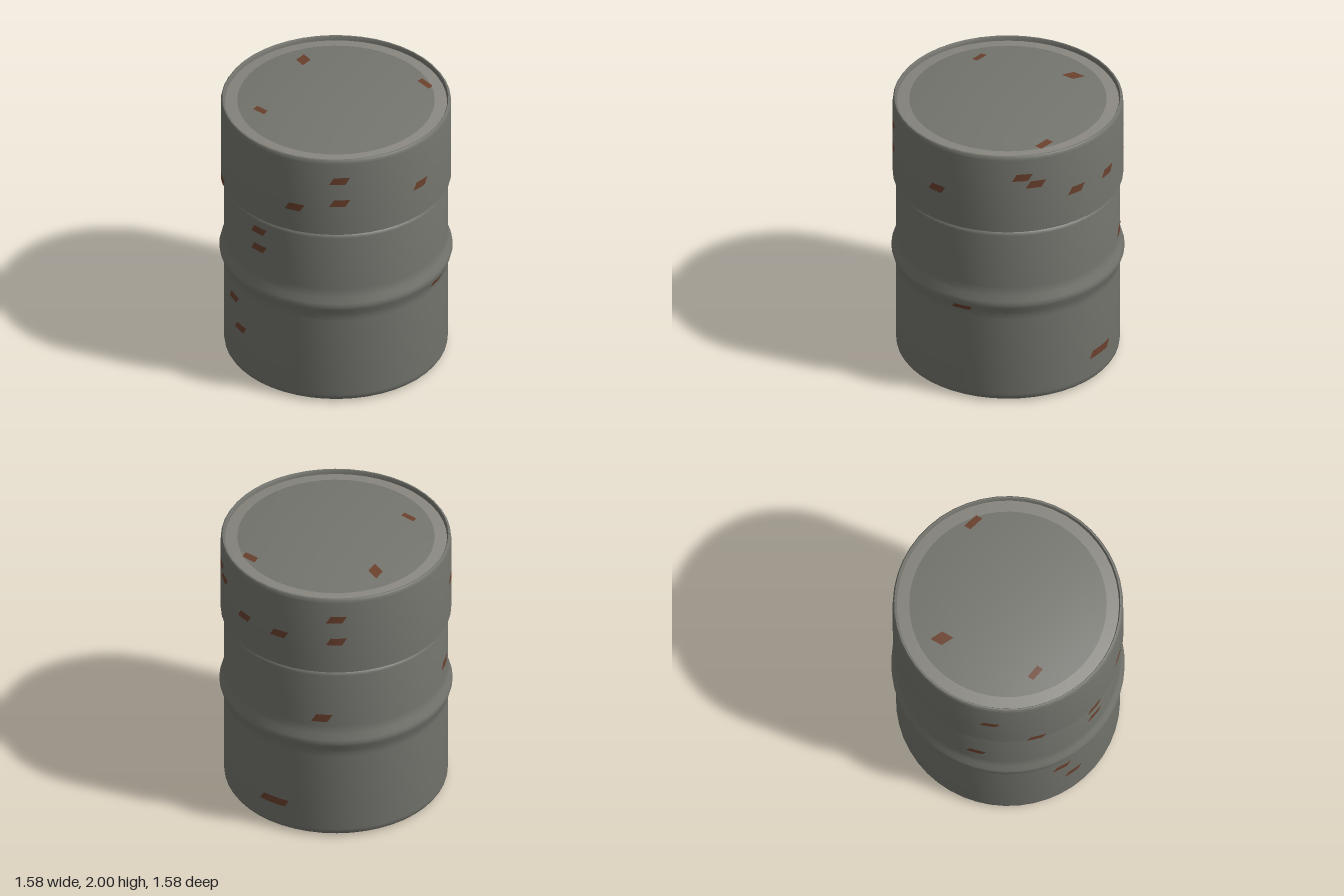
import * as THREE from 'three';
import { toCreasedNormals } from 'three/addons/utils/BufferGeometryUtils.js';

const SEGMENTS = 48;
const steel = new THREE.MeshStandardMaterial({ color: 0x75756f });
const wornSteel = new THREE.MeshStandardMaterial({ color: 0x88867f });
const rust = new THREE.MeshStandardMaterial({ color: 0x6b412d });

// Radius-height profiles, each running from the bottom up
const bodyProfile = [
  [0, 0], [0.66, 0], [0.745, 0.018], [0.756, 0.035], [0.76, 0.06],
  [0.76, 0.66], [0.762, 0.69], [0.77, 0.725], [0.786, 0.765], [0.792, 0.79],
  [0.786, 0.815], [0.77, 0.855], [0.762, 0.89], [0.76, 0.92],
  [0.76, 1.33], [0.757, 1.347], [0.748, 1.355], [0.72, 1.355], [0.72, 1.377]
];
const lidProfile = [
  [0.715, 1.375], [0.782, 1.375], [0.782, 1.945], [0.779, 1.963],
  [0.772, 1.974], [0.762, 1.975], [0.757, 1.965], [0.754, 1.943]
];
const domeY = r => 2 - 0.1 * r * r;
const domeProfile = (from, to, n) =>
  Array.from({ length: n + 1 }, (_, i) => from + (to - from) * i / n).map(r => [r, domeY(r)]);

function turned(name, profile, material) {
  const points = profile.map(([r, y]) => new THREE.Vector2(r, y));
  const geometry = toCreasedNormals(new THREE.LatheGeometry(points, SEGMENTS), 0.7);
  const mesh = new THREE.Mesh(geometry, material);
  mesh.name = name;
  return mesh;
}

// Body radius at a given height
function bodyRadius(y) {
  const i = bodyProfile.findIndex(p => p[1] > y);
  const [r0, y0] = bodyProfile[i - 1], [r1, y1] = bodyProfile[i];
  return r0 + (r1 - r0) * (y - y0) / (y1 - y0);
}

// Slanted patch laid onto a surface by a mapping (u, v) -> [x, y, z]
function patch(name, width, height, slant, map) {
  const geometry = new THREE.PlaneGeometry(width, height, 6, 4);
  const pos = geometry.attributes.position;
  for (let i = 0; i < pos.count; i++) {
    const v = pos.getY(i);
    pos.setXYZ(i, ...map(pos.getX(i) + v * slant, v));
  }
  geometry.computeVertexNormals();
  const mesh = new THREE.Mesh(geometry, rust);
  mesh.name = name;
  return mesh;
}

function sidePatch(name, angle, y, radiusAt, width = 0.11, height = 0.055) {
  return patch(name, width, height, 0.6, (u, v) => {
    const r = radiusAt(y + v) + 0.003;
    const a = angle + u / r;
    return [r * Math.sin(a), y + v, r * Math.cos(a)];
  });
}

export function createModel() {
  const group = new THREE.Group();
  group.name = 'barrel';

  // Drum with its swaged ring, and the deep cap on top
  group.add(turned('body', bodyProfile, steel));
  group.add(turned('lid', lidProfile, steel));
  group.add(turned('lidWornBand', domeProfile(0.755, 0.67, 2), wornSteel));
  group.add(turned('lidDome', domeProfile(0.67, 0, 8), steel));

  // Rust on the lid wall: angle, height
  const lidRust = [
    [-0.92, 1.81], [-0.92, 1.63], [-1.32, 1.57], [-0.13, 1.63], [0.66, 1.81],
    [0.78, 1.75], [1.17, 1.63], [1.57, 1.63], [2.09, 1.81], [2.09, 1.63],
    [-2.75, 1.69], [-2.34, 1.405]
  ];
  for (const [angle, y] of lidRust) group.add(sidePatch('lidRust', angle, y, () => 0.782));

  // Rust on the body: angle, height, width, thickness
  const bodyRust = [
    [0.12, 0.735, 0.13, 0.035], [1.96, 0.98, 0.11, 0.06], [1.5, 0.22, 0.2, 0.055],
    [-1.71, 1.26], [-1.71, 1.12], [-2.88, 1.05], [-2.09, 0.57], [-1.97, 0.37]
  ];
  for (const [angle, y, w, h] of bodyRust) {
    group.add(sidePatch('bodyRust', angle, y, bodyRadius, w, h));
  }

  // Rust on the lid top: x, z, width, depth, slant
  const topRust = [[-0.42, -0.33, 0.045, 0.1, 0.15], [0.25, -0.45, 0.09, 0.085, 0.5], [0.51, 0.38, 0.05, 0.11, 0.25]];
  for (const [x, z, w, d, slant] of topRust) {
    group.add(patch('topRust', w, d, slant, (u, v) =>
      [x + u, domeY(Math.hypot(x + u, z - v)) + 0.003, z - v]));
  }
  return group;
}
